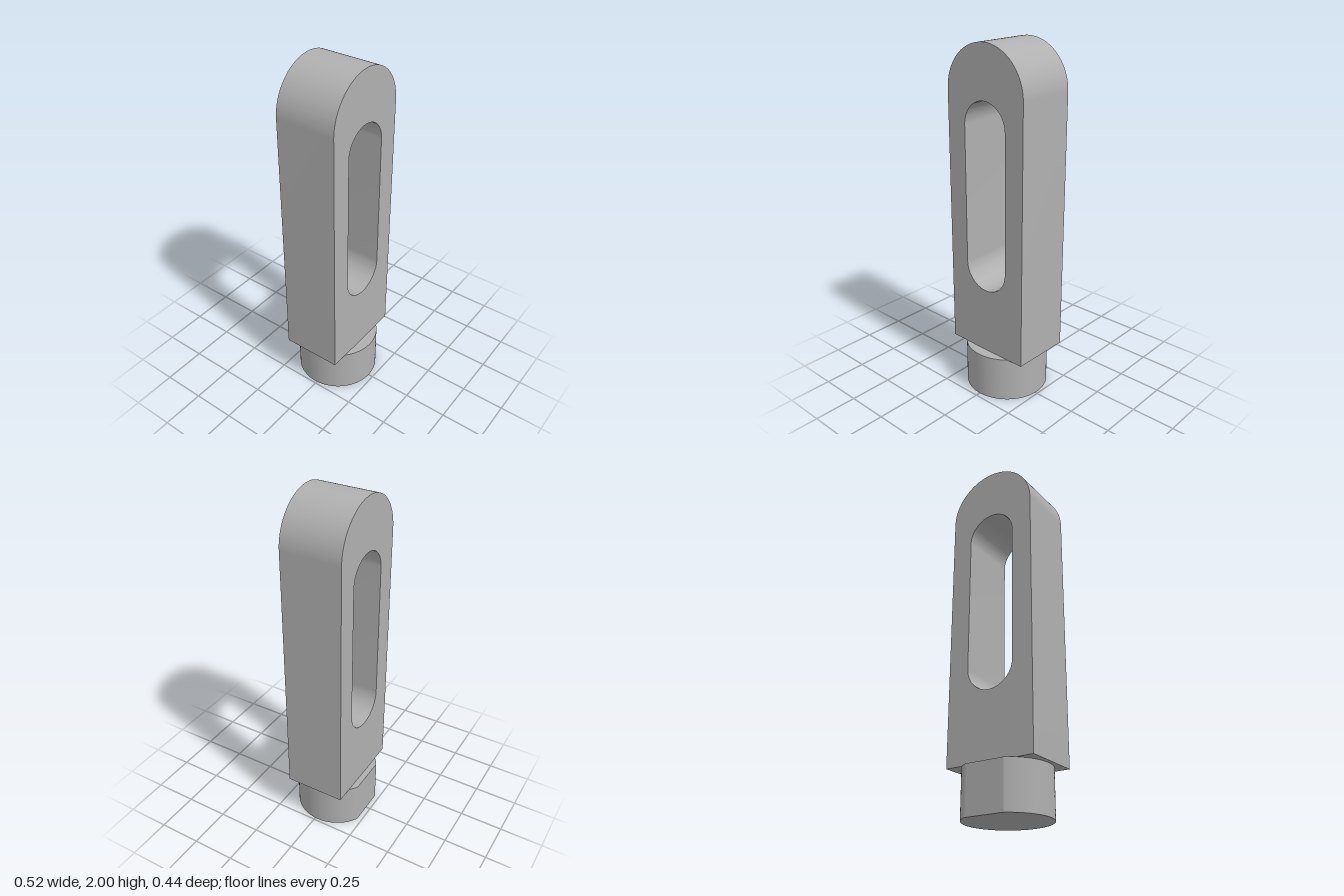
import * as THREE from 'three';
import { toCreasedNormals } from 'three/addons/utils/BufferGeometryUtils.js';

const CENTER_Z = -0.0155;

// Extrude a shape, with smooth arcs and sharp edges
function extrude(shape, depth) {
  const geometry = new THREE.ExtrudeGeometry(shape, { depth, bevelEnabled: false, curveSegments: 48 });
  return toCreasedNormals(geometry, 0.5);
}

export function createModel() {
  const group = new THREE.Group();
  group.name = 'slottedClamp';
  const steel = new THREE.MeshStandardMaterial({ color: 0xb0b0b0 });
  steel.name = 'grey steel';

  // Upright plate: square foot, round top
  const halfWidth = 0.261, bottom = 0.264, thickness = 0.348;
  const outline = new THREE.Shape();
  outline.moveTo(-halfWidth, bottom);
  outline.lineTo(halfWidth, bottom);
  outline.lineTo(halfWidth, 2 - halfWidth);
  outline.absarc(0, 2 - halfWidth, halfWidth, 0, Math.PI, false);
  outline.closePath();

  // Long slot with round ends
  const slotRadius = 0.141;
  const slot = new THREE.Path();
  slot.absarc(0, 1.709 - slotRadius, slotRadius, 0, Math.PI, false);
  slot.absarc(0, 0.645 + slotRadius, slotRadius, Math.PI, Math.PI * 2, false);
  slot.closePath();
  outline.holes.push(slot);

  const plate = new THREE.Mesh(extrude(outline, thickness), steel);
  plate.name = 'slottedPlate';
  plate.position.z = CENTER_Z - thickness / 2;
  group.add(plate);

  // Round boss with a flat cut on the back
  const radius = 0.2365, flatDistance = 0.2075;
  const angle = Math.asin(flatDistance / radius);
  const disc = new THREE.Shape();
  disc.absarc(0, 0, radius, Math.PI - angle, Math.PI * 2 + angle, false);
  disc.closePath();

  const boss = new THREE.Mesh(extrude(disc, bottom), steel);
  boss.name = 'flattedBoss';
  boss.rotation.x = -Math.PI / 2;
  boss.position.z = CENTER_Z;
  group.add(boss);

  return group;
}
